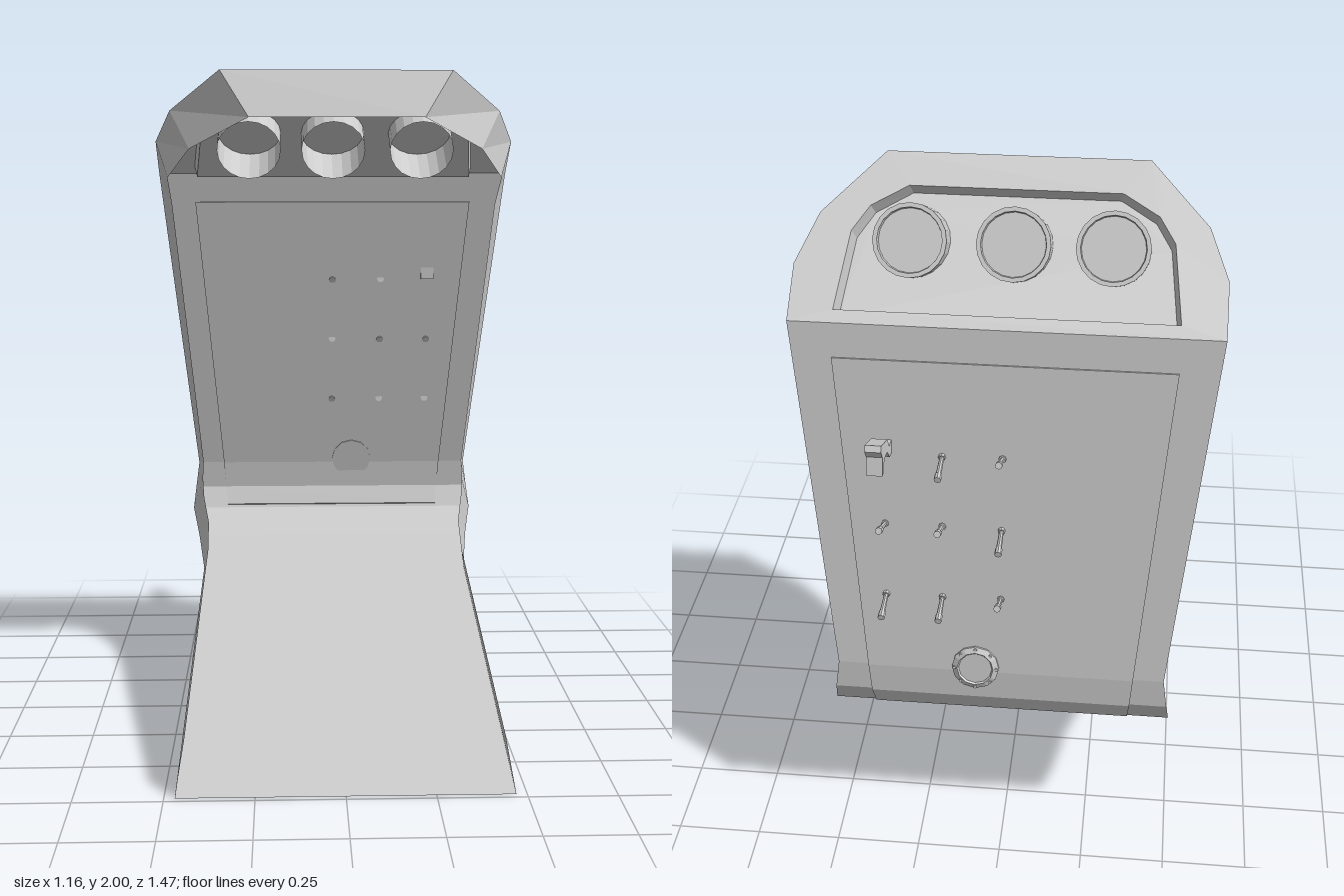
import * as THREE from 'three';

const mat = new THREE.MeshStandardMaterial({ color: 0xcccccc, flatShading: true, side: THREE.DoubleSide });
const smooth = new THREE.MeshStandardMaterial({ color: 0xcccccc, side: THREE.DoubleSide });

// Stations along the shell: skin z, y, half width, then rim z, y, half width
const ROWS = [
  [0.73, 0, 0.47, 0.68, 0.15, 0.445],
  [-0.35, 0.36, 0.44, -0.25, 0.45, 0.42],
  [-0.53, 0.43, 0.465, -0.4, 0.505, 0.425],
  [-0.65, 0.5, 0.49, -0.5, 0.57, 0.445],
  [-0.68, 0.57, 0.482, -0.53, 0.63, 0.45],
  [-0.675, 0.66, 0.47, -0.535, 0.69, 0.447],
  [-0.49, 1.68, 0.58, -0.37, 1.58, 0.53],
  [-0.36, 1.784, 0.58, -0.25, 1.67, 0.535],
  [-0.24, 1.88, 0.525, -0.15, 1.76, 0.46],
  [-0.09, 2.0, 0.36, -0.03, 1.855, 0.27],
];
const HOOD = 6; // station where the hood begins
const skin = (r, s) => [s * r[2], r[1], r[0]];
const rim = (r, s) => [s * r[5], r[4], r[3]];
const hoodY = (z) => 1.68 + 0.8 * (z + 0.49);
const backZ = (y) => -0.675 + (y - 0.66) * 0.1814;

function quads(name, list) {
  const pos = [];
  for (const [a, b, c, d] of list) pos.push(...a, ...b, ...c, ...a, ...c, ...d);
  const g = new THREE.BufferGeometry();
  g.setAttribute('position', new THREE.Float32BufferAttribute(pos, 3));
  g.computeVertexNormals();
  return named(name, g, mat);
}

function named(name, geometry, material = mat) {
  const m = new THREE.Mesh(geometry, material);
  m.name = name;
  return m;
}

// Flat shape drawn in x, z and laid on the sloping hood plane, sunk by depth
function onHood(shape, depth) {
  const g = new THREE.ShapeGeometry(shape);
  const p = g.attributes.position;
  for (let i = 0; i < p.count; i++) {
    p.setXYZ(i, ...hoodPoint(p.getX(i), p.getY(i), depth));
  }
  g.computeVertexNormals();
  return g;
}
const hoodPoint = (x, z, depth) => [x, hoodY(z) - 0.78 * depth, z + 0.62 * depth];

function rod(from, to, r0, r1) {
  const a = new THREE.Vector3(...from), b = new THREE.Vector3(...to);
  const dir = b.clone().sub(a);
  const m = named('switchLever', new THREE.CylinderGeometry(r1, r0, dir.length(), 8));
  m.position.copy(a).add(b).multiplyScalar(0.5);
  m.quaternion.setFromUnitVectors(new THREE.Vector3(0, 1, 0), dir.normalize());
  return m;
}

export function createModel() {
  const root = new THREE.Group();
  root.name = 'canopy';

  // Ramp floor and back wall
  const floor = [], walls = [];
  for (let i = 0; i < ROWS.length - 1; i++) {
    const a = ROWS[i], b = ROWS[i + 1];
    if (i < HOOD) floor.push([skin(a, -1), skin(a, 1), skin(b, 1), skin(b, -1)]);
    for (const s of [-1, 1]) walls.push([skin(a, s), skin(b, s), rim(b, s), rim(a, s)]);
  }
  root.add(quads('rampAndBack', floor), quads('sideWalls', walls));

  // Front lip of the hood
  const tip = ROWS[ROWS.length - 1];
  root.add(quads('hoodLip', [[skin(tip, -1), skin(tip, 1), rim(tip, 1), rim(tip, -1)]]));

  // Hood skin with its sunken lamp tray
  const mirrorLoop = (half) => [...half, ...half.map(([x, z]) => [-x, z]).reverse()];
  const v2 = (pts) => pts.map(([x, z]) => new THREE.Vector2(x, z));
  const outline = mirrorLoop(ROWS.slice(HOOD).map((r) => [r[2], r[0]]));
  const tray = mirrorLoop([[0.46, -0.46], [0.435, -0.28], [0.39, -0.22], [0.29, -0.17]]);
  const trayLow = tray.map(([x, z]) => [x * 0.98, z]);
  const hood = new THREE.Shape(v2(outline));
  hood.holes.push(new THREE.Path(v2(tray)));
  const depth = 0.045;
  root.add(named('hoodSkin', onHood(hood, 0)));
  root.add(named('trayFloor', onHood(new THREE.Shape(v2(trayLow)), depth)));
  root.add(quads('trayWalls', tray.map((p, i) => {
    const j = (i + 1) % tray.length;
    return [hoodPoint(...p, 0), hoodPoint(...tray[j], 0), hoodPoint(...trayLow[j], depth), hoodPoint(...trayLow[i], depth)];
  })));

  // Three lamps, open at the front
  const lampProfile = [[0, 0.185], [0.086, 0.185], [0.088, 0.2], [0.1, 0.2], [0.1, 0]]
    .map(([r, y]) => new THREE.Vector2(r, y));
  for (const x of [-0.273, -0.008, 0.27]) {
    const lamp = named('lamp', new THREE.LatheGeometry(lampProfile, 20));
    lamp.position.set(x, 1.755, -0.15);
    lamp.rotation.x = -1.08;
    root.add(lamp);
  }

  // Back panel, a thin slab wrapping the lower bend
  const t = 0.006;
  const slab = [[-0.655, 0.508, 0.37, 0.7, 0.7], [-0.68, 0.57, 0.375, 1, 0.2], [-0.675, 0.66, 0.382, 1, -0.1], [-0.507, 1.585, 0.462, 1, -0.18]]
    .map(([z, y, w, nz, ny]) => [[-1, 1], [1, 1], [1, -1], [-1, -1]]
      .map(([s, o]) => [s * w, y - o * t * ny, z - o * t * nz]));
  const panel = [slab[0], slab[3]];
  for (let i = 0; i < 3; i++) {
    for (let k = 0; k < 4; k++) {
      const n = (k + 1) % 4;
      panel.push([slab[i][k], slab[i][n], slab[i + 1][n], slab[i + 1][k]]);
    }
  }
  root.add(quads('backPanel', panel));

  // Round hatch with a ring of bolts
  const hatch = new THREE.Group();
  hatch.name = 'hatch';
  const cover = [[0, -0.01], [0.068, -0.01], [0.068, 0.012], [0.052, 0.02], [0.048, 0.015], [0, 0.015]]
    .map(([r, y]) => new THREE.Vector2(r, y));
  hatch.add(named('hatchCover', new THREE.LatheGeometry(cover, 12)));
  for (let i = 0; i < 8; i++) {
    const bolt = named('hatchBolt', new THREE.CylinderGeometry(0.005, 0.005, 0.012, 6));
    bolt.position.set(0.06 * Math.cos(i * Math.PI / 4), 0.014, 0.06 * Math.sin(i * Math.PI / 4));
    hatch.add(bolt);
  }
  hatch.position.set(0.07, 0.675, backZ(0.675));
  hatch.rotation.x = -1.39;
  root.add(hatch);

  // Toggle switches: 1 tilts up, -1 tilts down, 0 leaves room for the handle
  const xs = [0, 0.165, 0.325];
  const toggles = [[1.32, [1, -1, 0]], [1.11, [-1, 1, 1]], [0.895, [1, -1, -1]]];
  for (const [y, states] of toggles) {
    states.forEach((state, i) => {
      if (!state) return;
      const z = backZ(y), rise = state > 0 ? 0.045 : -0.012;
      const at = (f) => [xs[i], y + rise * f, z - 0.1 * f];
      const sw = new THREE.Group();
      sw.name = 'toggleSwitch';
      sw.add(rod(at(-0.08), at(0.12), 0.012, 0.01), rod(at(0), at(0.8), 0.006, 0.008), rod(at(0.78), at(1), 0.01, 0.01));
      root.add(sw);
    });
  }

  // Handle beside the top switches, profile in depth and height
  const profile = [[0.54, 1.32], [0.54, 1.36], [0.59, 1.365], [0.61, 1.4], [0.695, 1.435], [0.705, 1.42],
    [0.69, 1.395], [0.705, 1.345], [0.68, 1.342], [0.665, 1.375], [0.62, 1.365], [0.59, 1.33]];
  const handle = named('handle', new THREE.ExtrudeGeometry(new THREE.Shape(v2(profile)), { depth: 0.044, bevelEnabled: false }));
  handle.rotation.y = Math.PI / 2;
  handle.position.x = 0.303;
  root.add(handle);

  return root;
}
